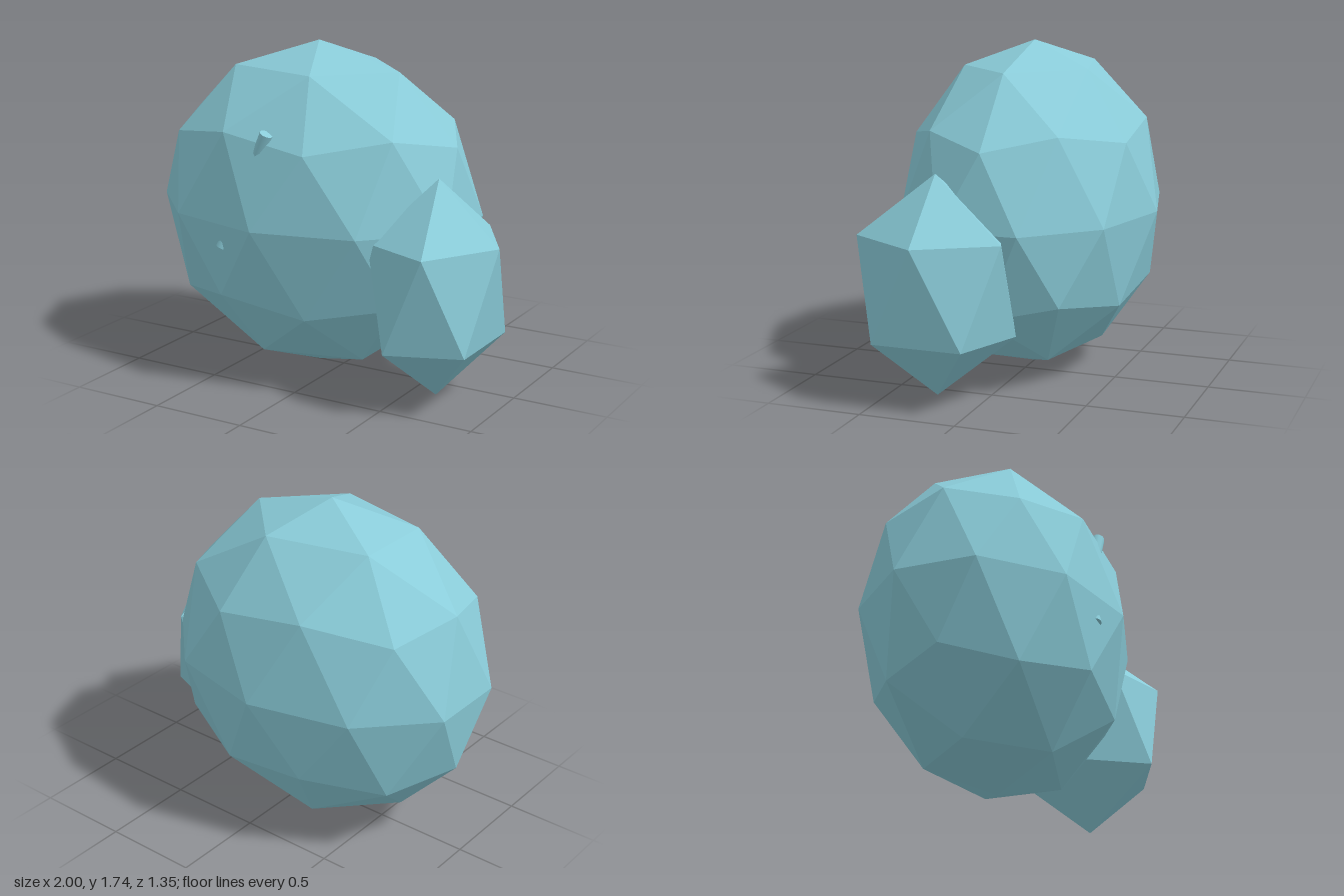
import * as THREE from 'three';

const paleTeal = new THREE.MeshStandardMaterial({ color: 0x8accd9 });
paleTeal.name = 'paleTeal';

// Faceted ellipsoid with a vertex at the top and an upper-ring vertex towards +x
function boulder(name, detail, radii, position) {
  const geometry = new THREE.IcosahedronGeometry(1, detail);
  geometry.rotateZ(Math.atan((1 + Math.sqrt(5)) / 2) - Math.PI / 2);
  geometry.scale(...radii);
  geometry.computeVertexNormals(); // unshared corners give flat facets
  const mesh = new THREE.Mesh(geometry, paleTeal);
  mesh.name = name;
  mesh.position.set(...position);
  return mesh;
}

// Short rod half sunk in the surface, running from its buried end to its exposed end
function peg(name, buried, exposed, radius) {
  const a = new THREE.Vector3(...buried);
  const b = new THREE.Vector3(...exposed);
  const axis = b.clone().sub(a);
  const mesh = new THREE.Mesh(new THREE.CylinderGeometry(radius, radius, axis.length(), 12), paleTeal);
  mesh.name = name;
  mesh.position.copy(a).add(b).multiplyScalar(0.5);
  mesh.quaternion.setFromUnitVectors(new THREE.Vector3(0, 1, 0), axis.normalize());
  return mesh;
}

export function createModel() {
  const model = new THREE.Group();
  model.name = 'boulders';
  model.add(
    boulder('largeBoulder', 1, [0.897, 0.872, 0.675], [-0.147, 0.875, 0]),
    boulder('smallBoulder', 0, [0.37, 0.562, 0.447], [0.67, 0.594, 0.225]),
    peg('upperPeg', [-0.2, 1.18, 0.54], [-0.122, 1.35, 0.546], 0.034),
    peg('lowerPeg', [-0.34, 0.83, 0.57], [-0.37, 0.745, 0.592], 0.032)
  );
  return model;
}
